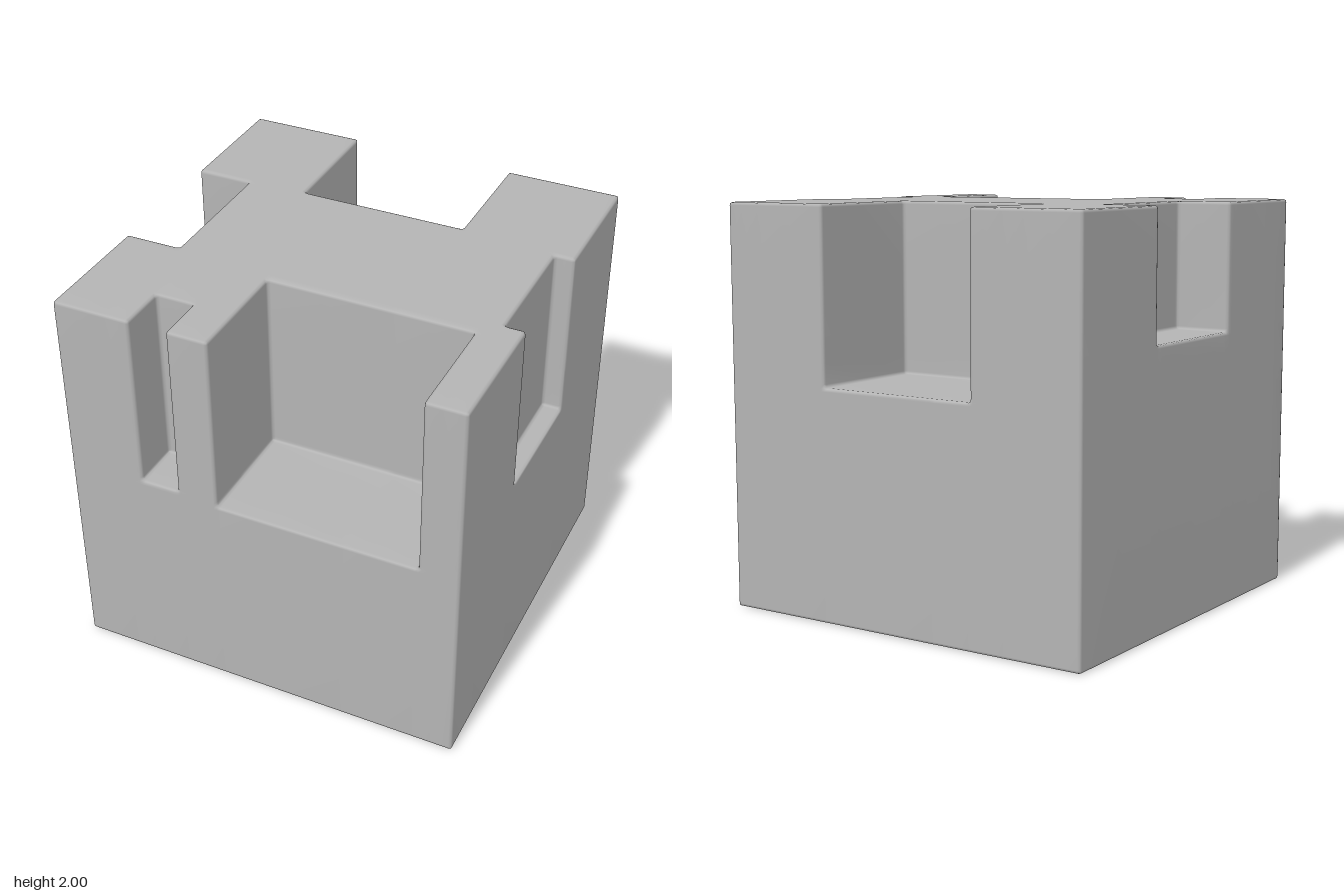
import * as THREE from 'three';

const BEVEL = 0.008; // half width of the softened band along every edge

// Notches cut down from the top: [x range], floor height, [z range]
const FAR = 2;
const notches = [
  { x: [-0.61, -0.42], floor: 1.105, z: [0.75, FAR] },   // front, narrow
  { x: [-0.215, 0.8], floor: 1.08, z: [0.43, FAR] },     // front, wide
  { x: [-0.42, 0.42], floor: 1.14, z: [-FAR, -0.375] },  // back
  { x: [0.9, FAR], floor: 1.14, z: [-0.325, 0.325] },    // shallow, +x side
  { x: [-FAR, -0.72], floor: 1.37, z: [-0.35, 0.35] },   // -x side
];

const within = (v, [a, b]) => v > a && v < b;

function isSolid(x, y, z) {
  if (Math.abs(x) > 1 || Math.abs(z) > 1 || !within(y, [0, 2])) return false;
  return !notches.some((n) => within(x, n.x) && y > n.floor && within(z, n.z));
}

// Sample positions hugging both sides of every cutting plane on one axis
function samplesAround(values) {
  const planes = [...new Set(values)].filter((p) => Math.abs(p) < FAR || p === FAR);
  const samples = planes.flatMap((p) => [-3, -1, 1, 3].map((k) => p + k * BEVEL));
  return [...new Set(samples)]
    .filter((s) => planes.every((p) => Math.abs(s - p) > BEVEL * 0.99))
    .sort((a, b) => a - b);
}

// One watertight skin: a vertex per mixed cell, a quad per solid/empty edge.
// Averaging the crossings in a cell rounds the edges and fills the inner corners.
function notchedBlockGeometry() {
  const inner = (list) => list.filter((v) => Math.abs(v) < FAR);
  const axes = [
    samplesAround([-1, 1, ...inner(notches.flatMap((n) => n.x))]),
    samplesAround([0, 2, ...notches.map((n) => n.floor)]),
    samplesAround([-1, 1, ...inner(notches.flatMap((n) => n.z))]),
  ];
  const point = (s) => s.map((index, axis) => axes[axis][index]);
  const solid = (s) => isSolid(...point(s));
  const step = (s, axis, amount) => s.map((v, a) => (a === axis ? v + amount : v));

  const positions = [];
  const indices = [];
  const vertexOfCell = new Map();

  function cellVertex(cell) {
    const key = cell.join();
    if (vertexOfCell.has(key)) return vertexOfCell.get(key);
    const sum = [0, 0, 0];
    let count = 0;
    for (let d = 0; d < 3; d++) {
      for (let corner = 0; corner < 4; corner++) {
        let a = step(cell, (d + 1) % 3, corner & 1);
        a = step(a, (d + 2) % 3, corner >> 1);
        const b = step(a, d, 1);
        if (solid(a) === solid(b)) continue;
        const pa = point(a);
        const pb = point(b);
        for (let i = 0; i < 3; i++) sum[i] += (pa[i] + pb[i]) / 2;
        count++;
      }
    }
    const vertex = positions.length / 3;
    positions.push(...sum.map((v) => v / count));
    vertexOfCell.set(key, vertex);
    return vertex;
  }

  for (let i = 0; i < axes[0].length; i++) {
    for (let j = 0; j < axes[1].length; j++) {
      for (let k = 0; k < axes[2].length; k++) {
        const s = [i, j, k];
        for (let d = 0; d < 3; d++) {
          if (s[d] + 1 >= axes[d].length) continue;
          const here = solid(s);
          if (here === solid(step(s, d, 1))) continue;
          const u = (d + 1) % 3;
          const v = (d + 2) % 3;
          const cells = [s, step(s, u, -1), step(step(s, u, -1), v, -1), step(s, v, -1)];
          const quad = cells.map(cellVertex);
          if (!here) quad.reverse();
          const [a, b, c, e] = quad;
          indices.push(a, b, c, a, c, e);
        }
      }
    }
  }

  const geometry = new THREE.BufferGeometry();
  geometry.setAttribute('position', new THREE.Float32BufferAttribute(positions, 3));
  geometry.setIndex(indices);
  geometry.computeVertexNormals();
  return geometry;
}

export function createModel() {
  const grey = new THREE.MeshStandardMaterial({ color: 0xb4b4b4 });
  grey.name = 'grey';

  const block = new THREE.Mesh(notchedBlockGeometry(), grey);
  block.name = 'notchedBlock';

  const model = new THREE.Group();
  model.name = 'notchedCube';
  model.add(block);
  return model;
}
